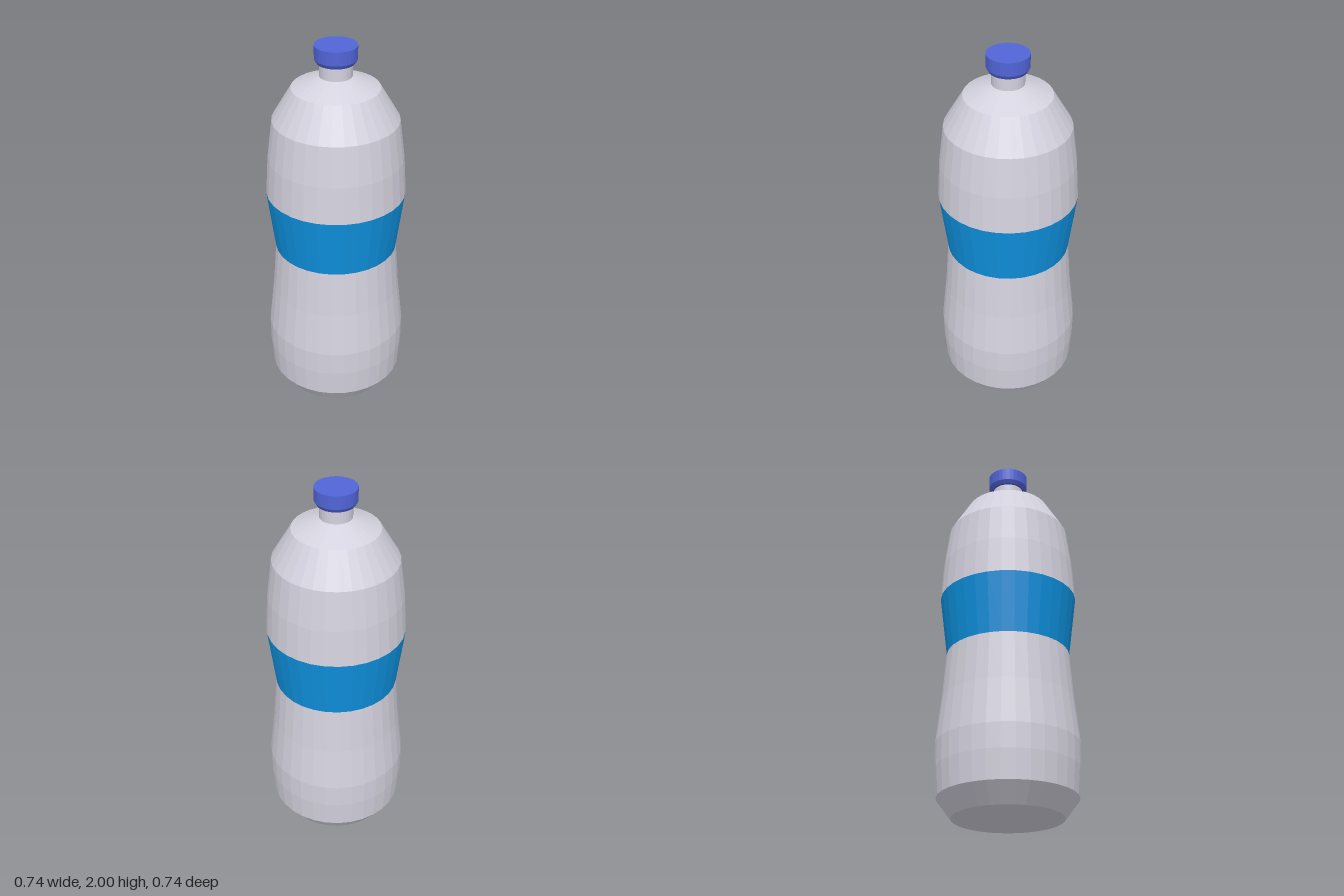
import * as THREE from 'three';

const SIDES = 32;

// Faceted surface of revolution from [radius, height] pairs, bottom to top
function turned(name, profile, material) {
  const points = profile.map(([r, y]) => new THREE.Vector2(r, y));
  const geometry = new THREE.LatheGeometry(points, SIDES).toNonIndexed();
  geometry.computeVertexNormals(); // one normal per facet
  const mesh = new THREE.Mesh(geometry, material);
  mesh.name = name;
  return mesh;
}

function flatMaterial(name, color) {
  const material = new THREE.MeshStandardMaterial({ color, flatShading: true });
  material.name = name;
  return material;
}

export function createModel() {
  const plastic = flatMaterial('pale grey plastic', 0xd4d2de);
  const blue = flatMaterial('label blue', 0x0f92e0);
  const capBlue = flatMaterial('cap blue', 0x5165d8);

  const bottle = new THREE.Group();
  bottle.name = 'bottle';

  bottle.add(
    // Closed base, swelling belly and narrowing waist
    turned('lowerBody', [
      [0, 0], [0.285, 0], [0.36, 0.1], [0.371, 0.25], [0.372, 0.38],
      [0.345, 0.62], [0.325, 0.875],
    ], plastic),

    // Label band wrapped flush around the waist
    turned('label', [[0.325, 0.875], [0.366, 1.2]], blue),

    // Upper body, shoulder and neck
    turned('upperBody', [
      [0.366, 1.2], [0.353, 1.4], [0.326, 1.61], [0.225, 1.78], [0.083, 1.84],
    ], plastic),
    turned('neck', [[0.083, 1.84], [0.083, 1.92]], plastic),

    // Screw cap with a chamfered lower rim
    turned('cap', [
      [0, 1.91], [0.096, 1.91], [0.108, 1.93], [0.108, 2], [0, 2],
    ], capBlue),
  );

  return bottle;
}
